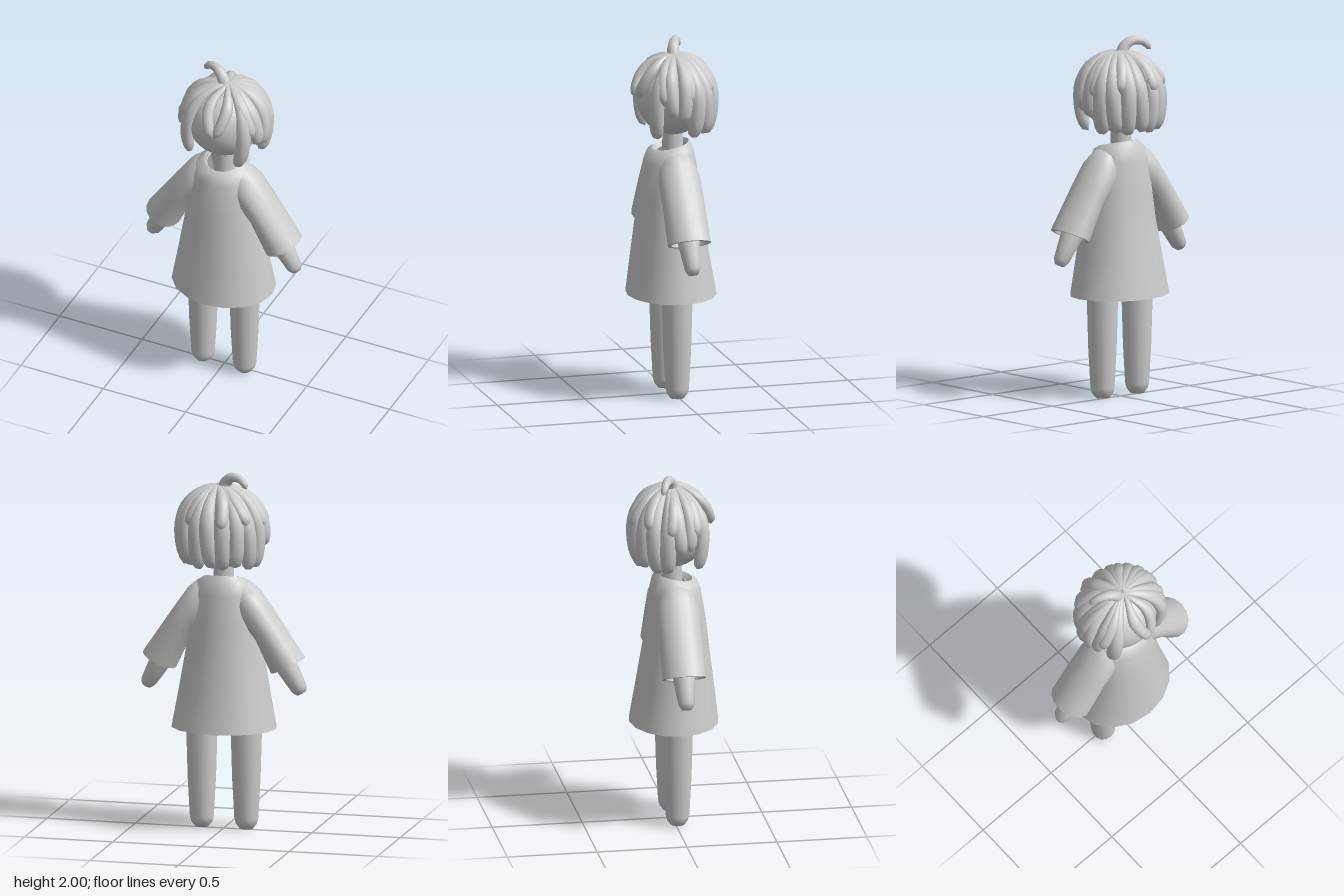
import * as THREE from 'three';
import { toCreasedNormals } from 'three/addons/utils/BufferGeometryUtils.js';

const V = (x, y, z) => new THREE.Vector3(x, y, z);
const material = new THREE.MeshStandardMaterial({ color: 0xcccccc, side: THREE.DoubleSide });

function mesh(name, geometry) {
  const m = new THREE.Mesh(geometry, material);
  m.name = name;
  return m;
}

// Skin elliptical sections { c: centre, u, v: half axes } into one surface
function loft(sections, sides) {
  const pos = [], index = [];
  const [a, b] = sections;
  const flip = a.u.clone().cross(a.v).dot(b.c.clone().sub(a.c)) < 0 ? -1 : 1;
  for (const { c, u, v } of sections) {
    for (let j = 0; j < sides; j++) {
      const t = (j / sides) * Math.PI * 2;
      const p = c.clone().addScaledVector(u, Math.cos(t)).addScaledVector(v, flip * Math.sin(t));
      pos.push(p.x, p.y, p.z);
    }
  }
  for (let i = 0; i < sections.length - 1; i++) {
    for (let j = 0; j < sides; j++) {
      const p = i * sides + j, q = i * sides + (j + 1) % sides;
      index.push(p, q, p + sides, q, q + sides, p + sides);
    }
  }
  const g = new THREE.BufferGeometry();
  g.setAttribute('position', new THREE.Float32BufferAttribute(pos, 3));
  g.setIndex(index);
  g.computeVertexNormals();
  return g;
}

const lathe = (points, sides) =>
  new THREE.LatheGeometry(points.map(([r, y]) => new THREE.Vector2(r, y)), sides);

// Lock of hair: follows the skull from the crown to angle "end" (degrees from the top)
function hairLock(azimuth, end, bend, width, lift) {
  const sections = [], n = 16;
  for (let i = 0; i <= n; i++) {
    const t = i / n;
    const phi = THREE.MathUtils.degToRad(4 + (end - 4) * t);
    const az = THREE.MathUtils.degToRad(azimuth + bend * Math.sin(t * 4.2));
    const reach = (phi < Math.PI / 2 ? Math.sin(phi) : Math.sqrt(Math.sin(phi))) * (1 + lift * t);
    const c = V(0.228 * reach * Math.sin(az) + 0.025 * (1 - t),
      1.67 + 0.25 * Math.cos(phi), 0.213 * reach * Math.cos(az));
    const side = V(Math.cos(az), 0, -Math.sin(az));
    const out = V(Math.sin(phi) * Math.sin(az), Math.cos(phi), Math.sin(phi) * Math.cos(az));
    const tip = t > 0.82 ? Math.sqrt(Math.max(0, 1 - ((t - 0.82) / 0.18) ** 2)) : 1;
    const w = width * Math.min(1, 0.3 + 1.4 * t) * tip;
    sections.push({ c, u: side.multiplyScalar(w), v: out.multiplyScalar(w * 0.85) });
  }
  return loft(sections, 10);
}

// Curled tuft standing on the crown
function tuft() {
  const curve = new THREE.CatmullRomCurve3([V(0, 1.9, -0.005), V(-0.02, 1.95, -0.01),
    V(-0.06, 1.978, -0.03), V(-0.115, 1.968, -0.055), V(-0.152, 1.925, -0.075)]);
  const side = V(0.43, 0, -0.9).normalize();
  const sections = [];
  for (let i = 0; i <= 16; i++) {
    const t = i / 16;
    const r = (0.038 - 0.022 * t) * (t > 0.9 ? Math.sqrt(Math.max(0, 1 - ((t - 0.9) / 0.1) ** 2)) : 1);
    sections.push({
      c: curve.getPoint(t),
      u: curve.getTangent(t).cross(side).normalize().multiplyScalar(r),
      v: side.clone().multiplyScalar(r),
    });
  }
  return loft(sections, 10);
}

// Shirt body: [y, half width, front z, back z, forward dip], neckline to hem, then inside
function shirtBody() {
  const rows = [
    [1.385, 0.095, 0.09, -0.075, 0.022], [1.412, 0.108, 0.112, -0.088, 0.022],
    [1.385, 0.15, 0.14, -0.112, 0.01], [1.32, 0.175, 0.16, -0.127, 0],
    [1.15, 0.2, 0.188, -0.147, 0], [1.0, 0.218, 0.205, -0.165, 0],
    [0.78, 0.256, 0.232, -0.202, 0], [0.57, 0.295, 0.256, -0.238, 0],
    [0.57, 0.272, 0.234, -0.216, 0], [0.78, 0.232, 0.21, -0.18, 0],
    [1.1, 0.18, 0.165, -0.125, 0], [1.3, 0.1, 0.1, -0.08, 0],
  ];
  return toCreasedNormals(loft(rows.map(([y, w, zf, zb, dip]) => ({
    c: V(0, y, (zf + zb) / 2), u: V(w, 0, 0), v: V(0, -dip, (zf - zb) / 2),
  })), 16), 0.9);
}

// Sleeve: [outer x, outer y, inner x, inner y, half depth], shoulder to cuff, then inside
function sleeve(s) {
  const rows = [
    [0.09, 1.41, 0.06, 1.18, 0.085], [0.15, 1.388, 0.1, 1.14, 0.11],
    [0.2, 1.345, 0.15, 1.1, 0.12], [0.28, 1.232, 0.19, 1.06, 0.12],
    [0.455, 0.975, 0.272, 0.886, 0.122],
    [0.436, 0.966, 0.291, 0.895, 0.102], [0.35, 1.1, 0.225, 1.03, 0.1],
    [0.24, 1.25, 0.15, 1.13, 0.08],
  ];
  return toCreasedNormals(loft(rows.map(([ox, oy, ix, iy, d]) => ({
    c: V(s * (ox + ix) / 2, (oy + iy) / 2, 0.008),
    u: V(s * (ox - ix) / 2, (oy - iy) / 2, 0), v: V(0, 0, d),
  })), 16), 0.9);
}

export function createModel() {
  const model = new THREE.Group();
  model.name = 'figure';

  // Head and neck
  const head = mesh('head', new THREE.SphereGeometry(1, 32, 24));
  head.scale.set(0.212, 0.212, 0.202);
  head.position.set(0, 1.682, 0);
  const neck = mesh('neck', new THREE.CylinderGeometry(0.055, 0.06, 0.25, 16));
  neck.position.set(0, 1.4, 0);
  model.add(head, neck);

  // Hair: [azimuth from the front, end angle, bend, half width, lift]
  const hair = new THREE.Group();
  hair.name = 'hair';
  const locks = [
    [-4, 86, -9, 0.034, 0.04], [17, 86, 8, 0.034, 0],
    [-48, 137, 2, 0.042, 0], [-70, 104, 3, 0.038, 0.02], [-88, 108, -3, 0.04, 0.02],
    [-106, 138, 2, 0.046, 0], [-126, 140, -2, 0.046, 0], [-147, 134, 2, 0.046, 0],
    [-167, 138, 2, 0.046, 0], [173, 135, -2, 0.046, 0], [153, 139, 2, 0.046, 0],
    [132, 135, -2, 0.046, 0], [112, 138, 2, 0.046, 0], [92, 112, 3, 0.042, 0.02],
    [72, 106, -3, 0.04, 0.02], [48, 140, 2, 0.042, 0],
    [-60, 84, 4, 0.036, 0.06], [58, 88, -4, 0.036, 0.06],
    [-98, 82, 3, 0.036, 0.06], [100, 86, 3, 0.036, 0.06],
    [-137, 76, -3, 0.037, 0.08], [-167, 80, 3, 0.037, 0.1], [143, 78, 3, 0.037, 0.08],
  ];
  for (const lock of locks) hair.add(mesh('hairLock', hairLock(...lock)));
  hair.add(mesh('hairTuft', tuft()));
  model.add(hair);

  // Loose shirt
  model.add(mesh('shirtBody', shirtBody()));

  // Mirrored sleeves, arms and legs
  for (const s of [1, -1]) {
    const label = s > 0 ? 'left' : 'right';
    model.add(mesh(label + 'Sleeve', sleeve(s)));

    const arm = mesh(label + 'Arm', lathe([[0, 0], [0.028, 0.003], [0.044, 0.03],
      [0.052, 0.09], [0.064, 0.2], [0.07, 0.42], [0, 0.45]], 10));
    arm.position.set(s * 0.442, 0.775, 0.008);
    arm.rotation.z = s * 0.52;
    model.add(arm);

    const leg = mesh(label + 'Leg', lathe([[0, 0], [0.038, 0.004], [0.058, 0.03],
      [0.066, 0.06], [0.078, 0.28], [0.085, 0.52], [0.086, 0.72], [0.06, 0.78], [0, 0.79]], 14));
    leg.position.set(s * 0.126, 0, 0.01);
    model.add(leg);
  }
  return model;
}
